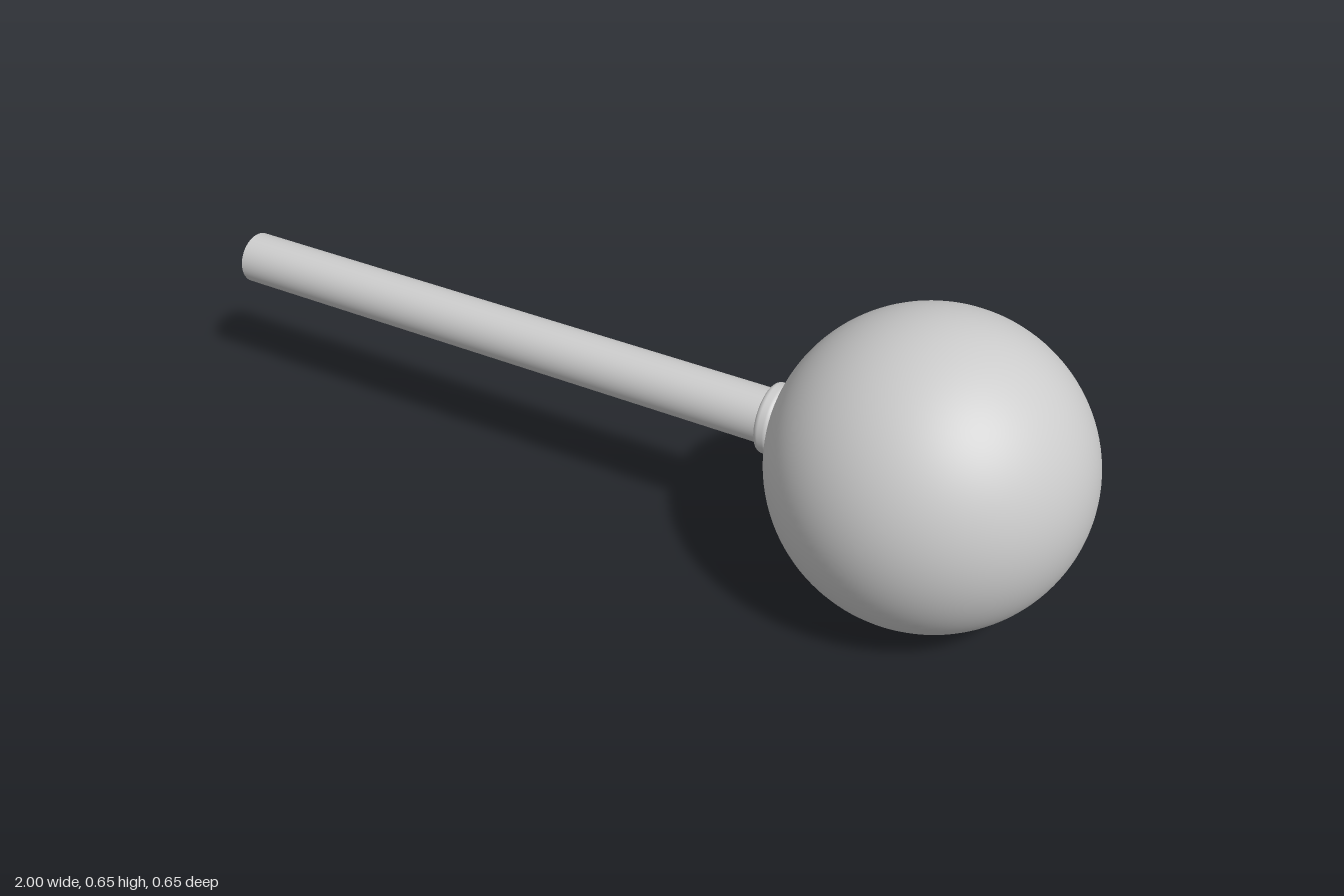
import * as THREE from 'three';

const RADIUS = 0.323;
const AXIS_Y = 0.324;

export function createModel() {
  const model = new THREE.Group();
  const material = new THREE.MeshStandardMaterial({ color: 0xcccccc });

  // Each part is turned around y, then laid along x (its +y end points to +x).
  function addPart(name, geometry, x) {
    geometry.rotateZ(-Math.PI / 2);
    const mesh = new THREE.Mesh(geometry, material);
    mesh.name = name;
    mesh.position.set(x, AXIS_Y, 0);
    model.add(mesh);
  }

  // Ball at the end
  addPart('ball', new THREE.SphereGeometry(RADIUS, 96, 64), 1 - RADIUS);

  // Straight rod, running a little way into the ball
  const rodLength = 1.38;
  addPart('rod', new THREE.CylinderGeometry(0.058, 0.058, rodLength, 64), -1 + rodLength / 2);

  // Collar with rounded rim where the rod meets the ball
  const rim = new THREE.Path();
  rim.moveTo(0.05, 0);
  rim.lineTo(0.063, 0);
  rim.absarc(0.063, 0.012, 0.012, -Math.PI / 2, 0, false);
  rim.lineTo(0.075, 0.023);
  rim.absarc(0.063, 0.023, 0.012, 0, Math.PI / 2, false);
  rim.lineTo(0.05, 0.035);
  addPart('collar', new THREE.LatheGeometry(rim.getPoints(8), 64), 0.328);

  return model;
}
